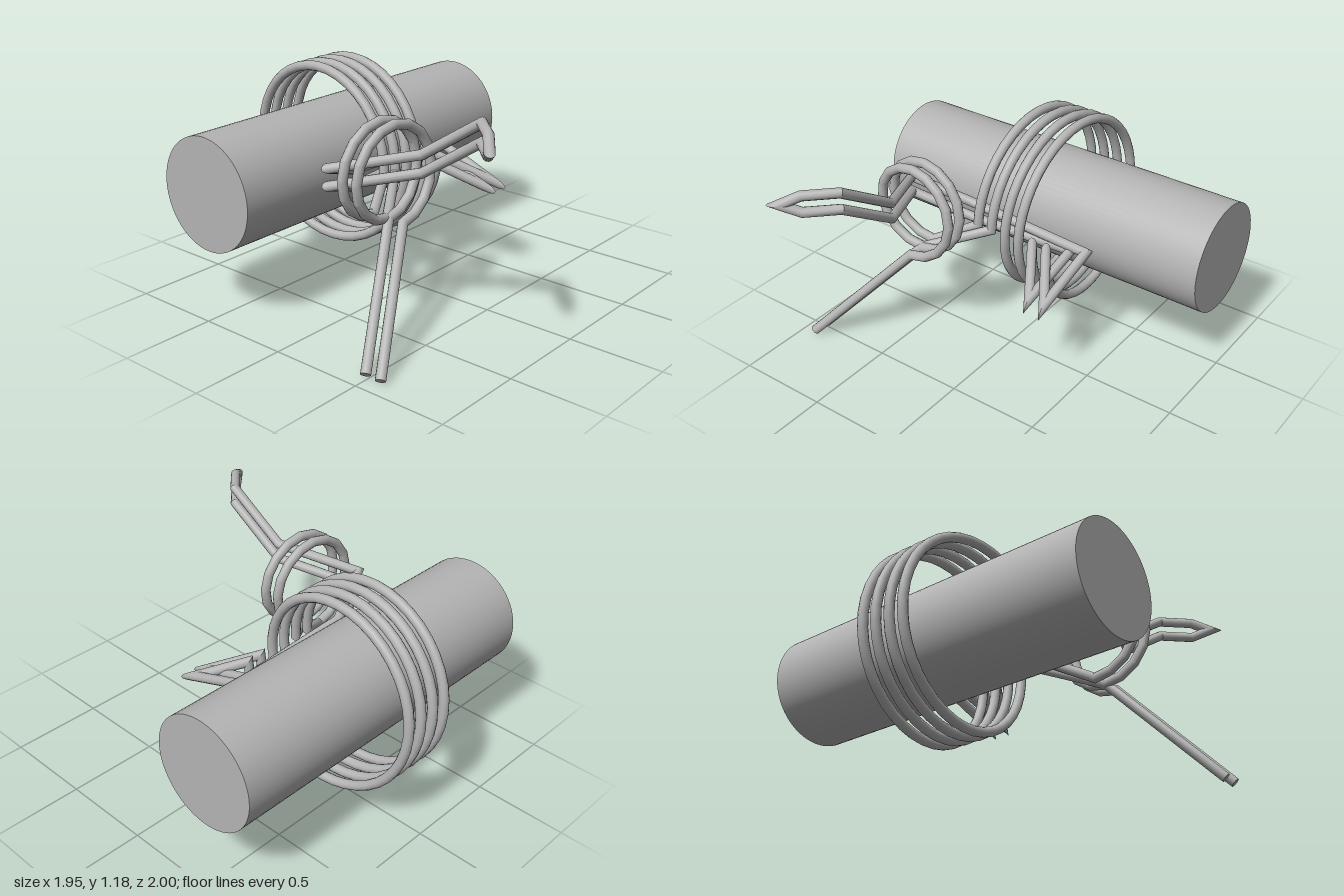
import * as THREE from 'three';
import { toCreasedNormals } from 'three/addons/utils/BufferGeometryUtils.js';

const V = (x, y, z) => new THREE.Vector3(x, y, z);

// Round rod along a polyline, with mitred corners and closed ends
function mitredRod(points, radius, sides = 12) {
  const n = points.length;
  const dirs = points.slice(1).map((p, i) => p.clone().sub(points[i]).normalize());
  const u = V(0, 1, 0).cross(dirs[0]).normalize();
  const v = dirs[0].clone().cross(u);
  let ring = [];
  for (let j = 0; j < sides; j++) {
    const a = (j / sides) * Math.PI * 2;
    ring.push(points[0].clone().addScaledVector(u, radius * Math.cos(a)).addScaledVector(v, radius * Math.sin(a)));
  }
  const pos = [], index = [];
  ring.forEach(p => pos.push(p.x, p.y, p.z));
  for (let i = 1; i < n; i++) {
    // slide the ring along the segment until it meets the mitre plane
    const d = dirs[i - 1];
    const normal = i < n - 1 ? d.clone().add(dirs[i]).normalize() : d;
    ring = ring.map(p => p.clone().addScaledVector(d, points[i].clone().sub(p).dot(normal) / d.dot(normal)));
    ring.forEach(p => pos.push(p.x, p.y, p.z));
    for (let j = 0; j < sides; j++) {
      const a = (i - 1) * sides + j, b = (i - 1) * sides + ((j + 1) % sides);
      index.push(a, b, a + sides, b, b + sides, a + sides);
    }
  }
  const last = (n - 1) * sides;
  for (let j = 1; j < sides - 1; j++) index.push(0, j + 1, j, last, last + j, last + j + 1);
  const geo = new THREE.BufferGeometry();
  geo.setAttribute('position', new THREE.Float32BufferAttribute(pos, 3));
  geo.setIndex(index);
  return toCreasedNormals(geo, 0.6);
}

// One of the two parallel strands: k = 0 or 1
function strand(k) {
  const pts = [V(-0.92, 0.02, 0.49 + 0.09 * k)];
  // small coil around a z axis
  const smallSteps = 16;
  for (let i = 0; i <= smallSteps; i++) {
    const t = i / smallSteps, a = -Math.PI / 2 + t * Math.PI * 2;
    pts.push(V(-0.43 + 0.242 * Math.cos(a), 0.805 + 0.242 * Math.sin(a), 0.21 - 0.1 * t + 0.09 * k));
  }
  // large coil around the bar, two turns
  const bigSteps = 80;
  for (let i = 0; i <= bigSteps; i++) {
    const t = (i / bigSteps) * 2, a = t * Math.PI * 2;
    pts.push(V(-0.217 + 0.174 * t + 0.087 * k, 0.673 + 0.485 * Math.sin(a), -0.49 + 0.485 * Math.cos(a)));
  }
  // pointed elbow, then the long arm
  const x = 0.09 * k, y = 0.09 * k;
  pts.push(
    V(0.285 + x, 0.545, 0.235),
    V(0.30 + x, 0.655 + 0.02 * k, -0.11),
    V(-0.34, 0.63 + y, -0.11),
    V(-0.645, 0.745 + y, 0.02),
    V(-0.435, 0.845 + y, 0.42),
    V(-0.435, 1.065 + y, 0.76),
    V(-0.565, 1.065 + y, 0.89)
  );
  return pts;
}

export function createModel() {
  const group = new THREE.Group();
  const steel = new THREE.MeshStandardMaterial({ color: 0xb4b4b4 });
  steel.name = 'grey steel';

  // Horizontal bar
  const bar = new THREE.Mesh(new THREE.CylinderGeometry(0.296, 0.296, 1.946, 64), steel);
  bar.rotation.z = Math.PI / 2;
  bar.position.set(0, 0.672, -0.49);
  bar.name = 'bar';
  group.add(bar);

  // A single wire doubled back on itself at the tip of the arm
  const path = [...strand(0), V(-0.645, 1.11, 0.955), ...strand(1).reverse()];
  const wire = new THREE.Mesh(mitredRod(path, 0.026), steel);
  wire.name = 'coiledWire';
  group.add(wire);

  return group;
}
